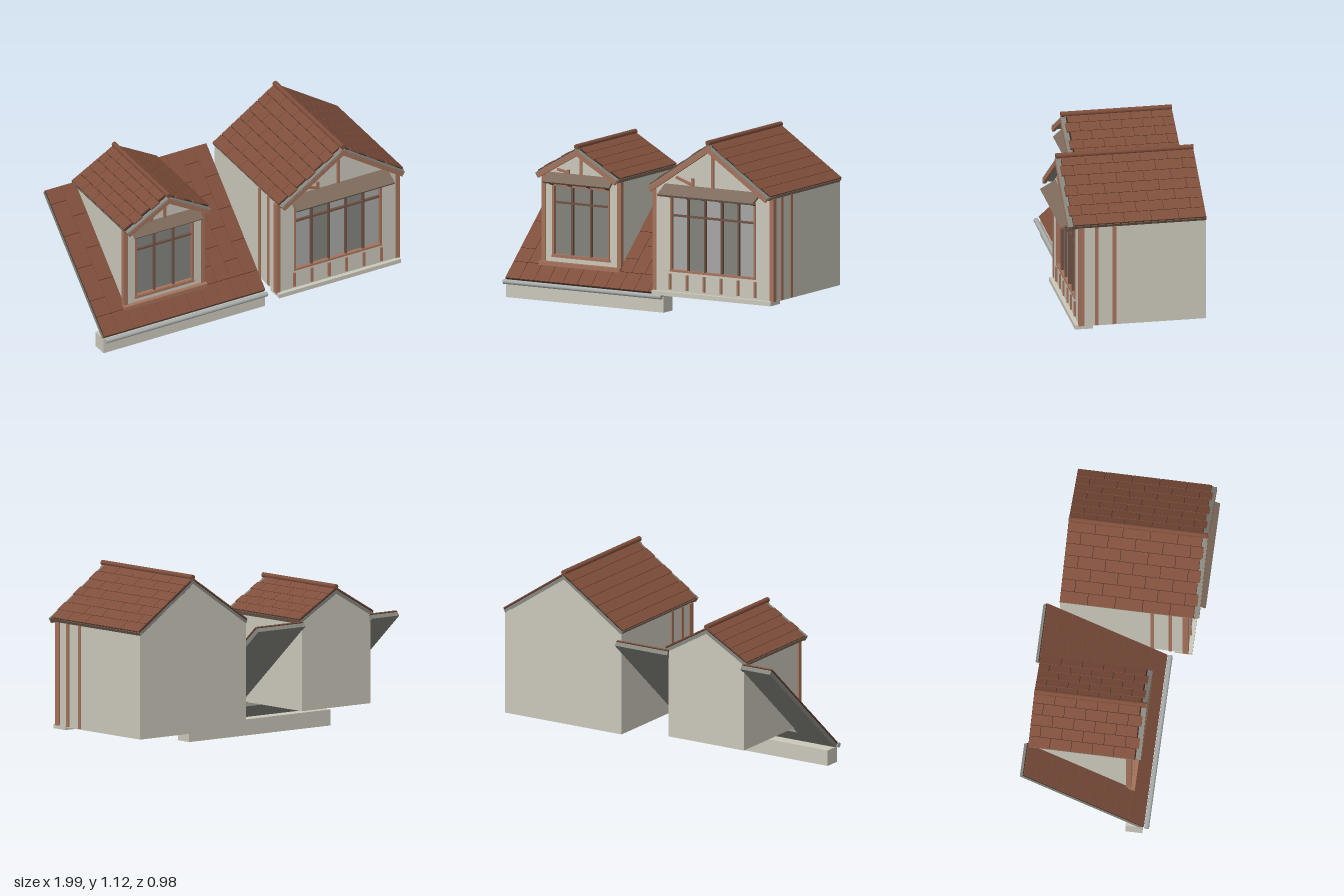
import * as THREE from 'three';
import { mergeGeometries } from 'three/addons/utils/BufferGeometryUtils.js';

const mat = (name, color, double) => {
  const m = new THREE.MeshStandardMaterial({ color });
  m.name = name;
  if (double) m.side = THREE.DoubleSide;
  return m;
};
const M = {
  plaster: mat('plaster', 0xcac7ba, true),
  timber: mat('timber', 0xa5725a),
  mullion: mat('darkTimber', 0x6e5245),
  board: mat('weatheredBoard', 0x7d6b5c),
  tile: mat('clayTile', 0x7e4e3b),
  under: mat('underlay', 0x3a281f),
  deck: mat('roofDeck', 0x84867e),
  gutter: mat('gutterMetal', 0xa8adac),
  glassLight: mat('lightGlass', 0xa6a7a4, true),
  glassDark: mat('darkGlass', 0x82837c, true),
};

function add(parent, name, geo, material) {
  const mesh = new THREE.Mesh(geo, material);
  mesh.name = name;
  parent.add(mesh);
  return mesh;
}

// Box given by its limits on each axis
function block(parent, name, material, x0, x1, y0, y1, z0, z1) {
  const mesh = add(parent, name, new THREE.BoxGeometry(x1 - x0, y1 - y0, z1 - z0), material);
  mesh.position.set((x0 + x1) / 2, (y0 + y1) / 2, (z0 + z1) / 2);
  return mesh;
}

// Box beam between two points in an x-y plane
function beam(parent, name, material, ax, ay, bx, by, z, w, d) {
  const m = add(parent, name, new THREE.BoxGeometry(Math.hypot(bx - ax, by - ay), w, d), material);
  m.position.set((ax + bx) / 2, (ay + by) / 2, z);
  m.rotation.z = Math.atan2(by - ay, bx - ax);
}

// Group whose local X and Y lie in a roof plane and whose Z points out of it
function planeFrame(parent, name, origin, X, Y) {
  const g = new THREE.Group();
  g.name = name;
  const Z = new THREE.Vector3().crossVectors(X, Y);
  g.quaternion.setFromRotationMatrix(new THREE.Matrix4().makeBasis(X, Y, Z));
  g.position.copy(origin);
  parent.add(g);
  return g;
}

// Staggered tiles in lanes along local X, with a dark underlay below
function tileField(frame, x0, x1, y0, y1, tileLen, lanes, tooth = 0, shift = 0.5) {
  const geos = [], gap = 0.003, lw = (y1 - y0) / lanes;
  for (let i = 0; i < lanes; i++) {
    const end = x1 + (i % 2 ? tooth : 0);
    for (let a = x0 - (i % 2 ? tileLen * shift : 0); a < end - 0.004; a += tileLen) {
      const p = Math.max(a, x0), q = Math.min(a + tileLen, end);
      if (q - p < 0.01) continue;
      const g = new THREE.BoxGeometry(q - p - gap, lw - gap, 0.01);
      g.translate((p + q) / 2, y0 + (i + 0.5) * lw, -0.005);
      geos.push(g);
    }
  }
  add(frame, 'tiles', mergeGeometries(geos), M.tile);
  block(frame, 'underlay', M.under, x0, x1, y0, y1, -0.013, -0.008);
}

function windowUnit(parent, w, z) {
  const g = new THREE.Group();
  g.name = 'window';
  parent.add(g);
  const { x0, x1, y0, y1, transom, panes } = w, step = (x1 - x0) / panes.length, t = 0.012;
  panes.forEach((glass, i) => {
    block(g, 'pane', glass, x0 + i * step, x0 + (i + 1) * step, y0, y1, z - 0.022, z - 0.018);
    if (i) block(g, 'mullion', M.mullion, x0 + i * step - 0.006, x0 + i * step + 0.006, y0, y1, z - 0.018, z);
  });
  block(g, 'transom', M.mullion, x0, x1, transom - 0.006, transom + 0.006, z - 0.018, z - 0.001);
  block(g, 'frameBottom', M.timber, x0 - t / 2, x1 + t / 2, y0 - t / 2, y0 + t / 2, z - 0.018, z + 0.006);
  block(g, 'frameTop', M.timber, x0 - t / 2, x1 + t / 2, y1 - t / 2, y1 + t / 2, z - 0.018, z + 0.004);
  for (const x of [x0, x1])
    block(g, 'frameSide', M.timber, x - t / 2, x + t / 2, y0, y1, z - 0.018, z + 0.005);
}

// Gabled dormer: open-bottomed walls, window, tiled roof and canopy
function dormer(parent, name, d) {
  const g = new THREE.Group();
  g.name = name;
  parent.add(g);
  const { cx, hw, base, front, back, apex, eaveHalf, eaveY, roofFront, win } = d;
  const slope = (apex - eaveY) / eaveHalf, wallApex = apex - 0.037;
  const wallEave = wallApex - slope * hw;

  const outline = () => new THREE.Shape([[-hw, base], [hw, base], [hw, wallEave], [0, wallApex], [-hw, wallEave]]
    .map(([x, y]) => new THREE.Vector2(cx + x, y)));
  const facade = outline();
  facade.holes.push(new THREE.Path([[win.x0, win.y0], [win.x0, win.y1], [win.x1, win.y1], [win.x1, win.y0]]
    .map(p => new THREE.Vector2(...p))));
  add(g, 'frontWall', new THREE.ExtrudeGeometry(facade, { depth: 0.025, bevelEnabled: false }), M.plaster)
    .position.z = front - 0.025;
  add(g, 'backWall', new THREE.ShapeGeometry(outline()).rotateY(Math.PI).translate(2 * cx, 0, back), M.plaster);
  for (const s of [-1, 1]) {
    const wall = add(g, 'sideWall', new THREE.PlaneGeometry(front - back, wallEave - base), M.plaster);
    wall.position.set(cx + s * hw, (base + wallEave) / 2, (front + back) / 2);
    wall.rotation.y = s * Math.PI / 2;

    // Posts on the corner and along the side
    d.posts.forEach(([z0, z1], i) => {
      const x = cx + s * hw;
      block(g, 'post', M.timber, x - (i ? 0.004 : 0.014), x + (i ? 0.004 : 0.014), base + 0.005, wallEave, z0, z1)
        .position.x += s * (i ? 0.002 : -0.004);
    });

    // Roof slope
    const len = Math.hypot(eaveHalf, apex - eaveY), c = eaveHalf / len, n = (apex - eaveY) / len;
    const origin = new THREE.Vector3(cx + s * eaveHalf / 2, (apex + eaveY) / 2, 0);
    const f = planeFrame(g, 'roofSlope', origin, new THREE.Vector3(0, 0, 1), new THREE.Vector3(c, -s * n, 0));
    const h = len / 2;
    block(f, 'deck', M.deck, back, roofFront, -h, h, -0.035, -0.013);
    tileField(f, back, roofFront - 0.03, -h, h, d.tileLen, d.rows, 0.015);
    block(f, 'bargeboard', M.timber, roofFront - 0.018, roofFront + 0.002, -h, h, -0.048, -0.021);
    const e = s * h;
    block(f, 'eaveBoard', M.board, back, roofFront - 0.02, e - 0.003, e + 0.003, -0.036, -0.009);
  }
  const ridge = add(g, 'ridgeCap', new THREE.CylinderGeometry(0.016, 0.016, roofFront - back, 12), M.tile);
  ridge.rotation.x = Math.PI / 2;
  ridge.position.set(cx, apex + 0.002, (roofFront + back) / 2);

  windowUnit(g, win, front);

  // Canopy above the window with thin stays
  const a = d.canopy, zi = front, dz = a.z - zi, dy = a.y1 - a.y0 - 0.012;
  const slab = add(g, 'canopy', new THREE.BoxGeometry(a.x1 - a.x0, 0.014, Math.hypot(dz, dy)), M.board);
  slab.position.set((a.x0 + a.x1) / 2, (a.y0 + a.y1) / 2, (a.z + zi) / 2);
  slab.rotation.x = Math.atan2(dy, dz);
  const step = (win.x1 - win.x0) / win.panes.length;
  for (let i = 0; i <= win.panes.length; i++) {
    const stay = add(g, 'canopyStay', new THREE.BoxGeometry(0.006, 0.005, dz * 0.8), M.under);
    stay.position.set(win.x0 + i * step, a.y0 - 0.008, zi + dz * 0.4);
    stay.rotation.x = -0.25;
  }

  // Gable timbers
  const [kx, ky, bx, by] = d.brace;
  block(g, 'kingPost', M.timber, cx - 0.009, cx + 0.009, a.y1 - 0.03, d.kingTop, front, front + 0.01);
  beam(g, 'brace', M.timber, kx, ky, bx, by, front + 0.006, 0.016, 0.01);
  block(g, 'braceStub', M.timber, bx - 0.008, bx + 0.008, a.y1 - 0.03, by + d.stub, front, front + 0.01);
  return g;
}

// Sloping main roof with an opening around the small dormer
function mainRoof(parent) {
  const low = new THREE.Vector3(0, 0.122, 0.257), high = new THREE.Vector3(0, 0.773, -0.477);
  const len = low.distanceTo(high), up = high.clone().sub(low).normalize();
  const f = planeFrame(parent, 'mainRoof', low, up, new THREE.Vector3(-1, 0, 0));
  const row = 0.132;
  // Local Y runs towards -x
  block(f, 'lowerDeck', M.deck, 0, row, -0.12, 1, -0.04, -0.013);
  tileField(f, 0, row, -0.12, 1, row, 11, 0, 0);
  for (const [y0, y1, lanes] of [[-0.12, 0.255, 4], [0.787, 1, 2]]) {
    block(f, 'sideDeck', M.deck, row, len, y0, y1, -0.04, -0.013);
    tileField(f, row, len, y0, y1, 0.215, lanes);
  }
}

export function createModel() {
  const model = new THREE.Group();
  model.name = 'dormerRoofs';
  const L = M.glassLight, D = M.glassDark;

  const large = dormer(model, 'largeDormer', {
    cx: 0.555, hw: 0.42, base: 0.152, front: 0.378, back: -0.405, apex: 1.105,
    eaveHalf: 0.435, eaveY: 0.815, roofFront: 0.445, tileLen: 0.168, rows: 7,
    win: { x0: 0.255, x1: 0.852, y0: 0.29, y1: 0.752, transom: 0.63, panes: [L, D, L, D, L] },
    posts: [[0.347, 0.382], [0.26, 0.282], [0.15, 0.172]],
    canopy: { x0: 0.215, x1: 0.895, y0: 0.757, y1: 0.822, z: 0.474 },
    brace: [0.295, 0.868, 0.412, 0.828], stub: 0.042, kingTop: 1.03,
  });
  block(large, 'baseSlab', M.plaster, 0.132, 0.978, 0.135, 0.162, 0.295, 0.405);
  for (let i = 0; i < 6; i++) {
    const x = 0.25 + i * 0.121;
    block(large, 'apronStud', M.timber, x - 0.008, x + 0.008, 0.175, 0.27, 0.37, 0.388);
  }

  const small = dormer(model, 'smallDormer', {
    cx: -0.523, hw: 0.272, base: 0.222, front: 0.148, back: -0.476, apex: 0.957,
    eaveHalf: 0.297, eaveY: 0.788, roofFront: 0.21, tileLen: 0.13, rows: 5,
    win: { x0: -0.722, x1: -0.326, y0: 0.27, y1: 0.7, transom: 0.595, panes: [D, D, D] },
    posts: [[0.122, 0.152]],
    canopy: { x0: -0.76, x1: -0.288, y0: 0.715, y1: 0.78, z: 0.208 },
    brace: [-0.69, 0.8, -0.612, 0.785], stub: 0.018, kingTop: 0.89,
  });
  block(small, 'sill', M.timber, -0.81, -0.237, 0.205, 0.23, 0.12, 0.176);
  block(small, 'windowSill', M.timber, -0.73, -0.318, 0.258, 0.272, 0.14, 0.158);

  mainRoof(model);
  block(model, 'wallPlate', M.plaster, -1, 0.122, 0, 0.098, 0.143, 0.246);
  const gutter = add(model, 'gutter', new THREE.CylinderGeometry(0.015, 0.015, 1.122, 16), M.gutter);
  gutter.rotation.z = Math.PI / 2;
  gutter.position.set(-0.439, 0.1, 0.272);
  return model;
}
